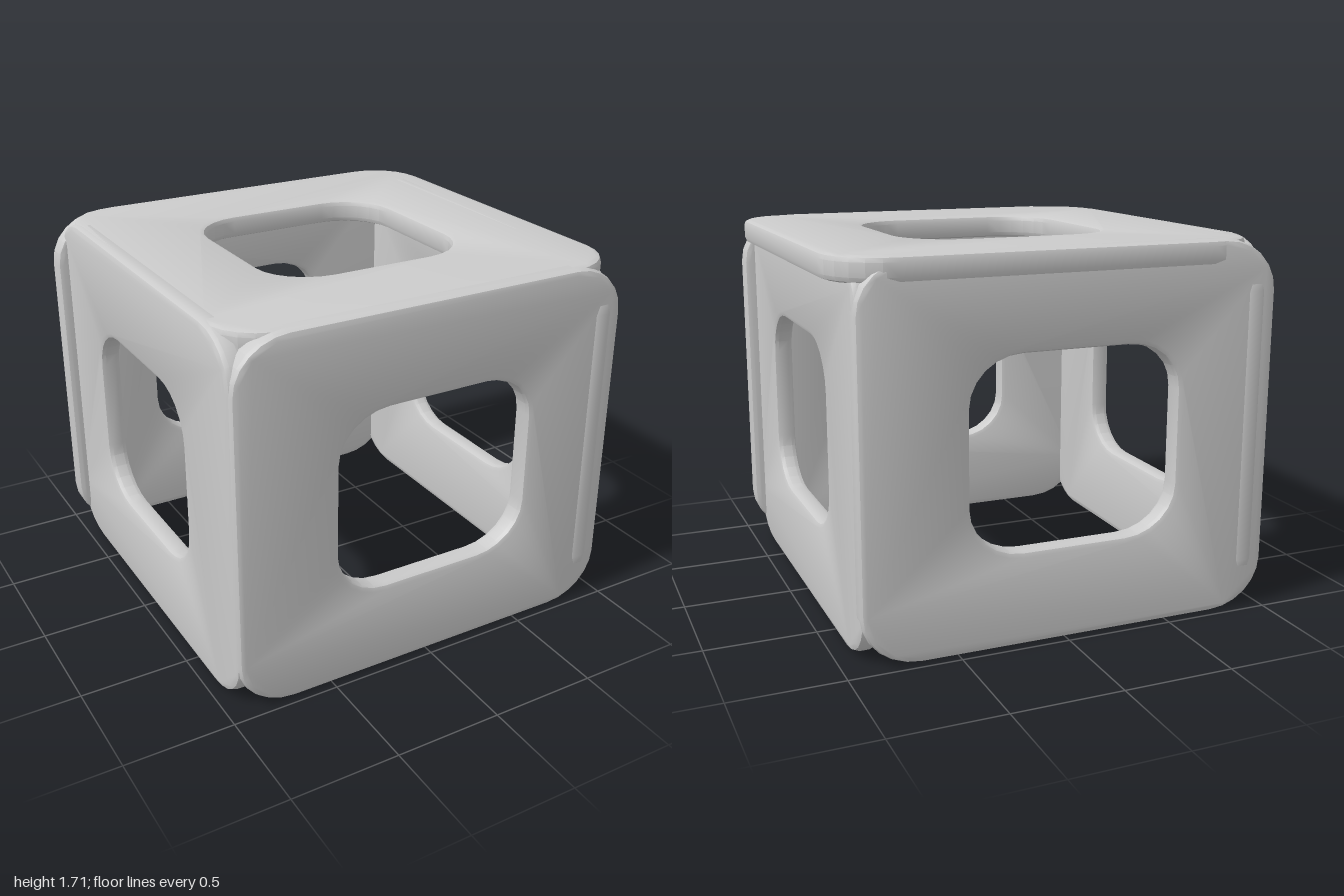
import * as THREE from 'three';
import { toCreasedNormals } from 'three/addons/utils/BufferGeometryUtils.js';

const material = new THREE.MeshStandardMaterial({ color: 0xcccccc });

// Rectangle with elliptical corners, added to a Shape or Path
function roundedRect(path, w, h, rx, ry) {
  const x = w / 2 - rx, y = h / 2 - ry, q = Math.PI / 2;
  path.moveTo(w / 2, -y);
  [[x, y], [-x, y], [-x, -y], [x, -y]].forEach(([cx, cy], i) =>
    path.absellipse(cx, cy, rx, ry, i * q, (i + 1) * q, false, 0));
  path.closePath();
  return path;
}

// Rounded plate with a rounded window and softened rims, lying in XY and centred
function panelGeometry(w, h, thickness) {
  const shape = roundedRect(new THREE.Shape(), w, h, w * 0.135, h * 0.135);
  shape.holes.push(roundedRect(new THREE.Path(), w * 0.502, h * 0.502, w * 0.125, h * 0.125));
  const bevel = 0.025;
  const geometry = new THREE.ExtrudeGeometry(shape, {
    depth: thickness - 2 * bevel,
    curveSegments: 3,
    bevelEnabled: true,
    bevelThickness: bevel,
    bevelSize: bevel,
    bevelOffset: -bevel,
    bevelSegments: 2,
  });
  geometry.translate(0, 0, bevel - thickness / 2);
  return toCreasedNormals(geometry, 0.45);
}

export function createModel() {
  const group = new THREE.Group();
  const H = 1.71, q = Math.PI / 2;

  // Overlapping walls and lid; the underside stays open
  const panels = [
    { name: 'frontPanel', size: [1.92, H, 0.105], at: [0.015, H / 2, 0.913], turn: [0, 0, 0] },
    { name: 'backPanel', size: [1.925, H, 0.105], at: [-0.0375, H / 2, -0.915], turn: [0, Math.PI, 0] },
    { name: 'leftPanel', size: [1.92, H, 0.095], at: [0.875, H / 2, 0.012], turn: [0, q, 0] },
    { name: 'rightPanel', size: [1.92, H, 0.1], at: [-0.9, H / 2, -0.012], turn: [0, -q, 0] },
    { name: 'topPanel', size: [1.94, 1.915, 0.11], at: [0.03, H - 0.055, -0.017], turn: [-q, 0, 0] },
  ];
  for (const { name, size, at, turn } of panels) {
    const mesh = new THREE.Mesh(panelGeometry(...size), material);
    mesh.name = name;
    mesh.position.set(...at);
    mesh.rotation.set(...turn);
    group.add(mesh);
  }
  return group;
}
